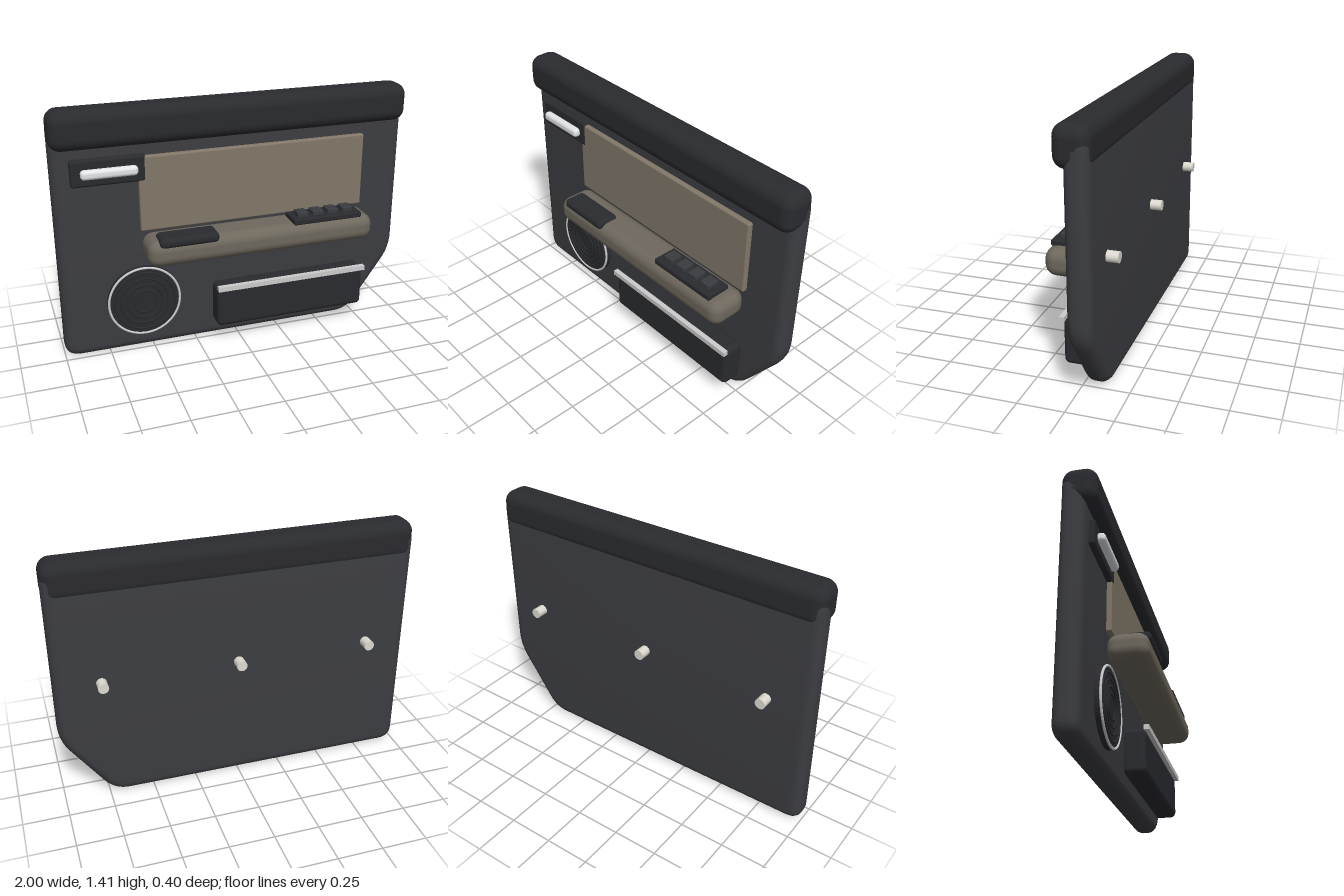
import * as THREE from 'three';
import { toCreasedNormals } from 'three/addons/utils/BufferGeometryUtils.js';
import { RoundedBoxGeometry } from 'three/addons/geometries/RoundedBoxGeometry.js';

const mat = (color) => new THREE.MeshStandardMaterial({ color });

// Closed outline with a rounded corner at each [x, y, radius]
function roundedShape(points) {
  const shape = new THREE.Shape();
  const n = points.length;
  points.forEach(([x, y, r], i) => {
    const corner = new THREE.Vector2(x, y);
    const toward = (p) => new THREE.Vector2(p[0], p[1]).sub(corner).setLength(r).add(corner);
    const a = toward(points[(i + n - 1) % n]);
    const b = toward(points[(i + 1) % n]);
    if (i === 0) shape.moveTo(a.x, a.y);
    else shape.lineTo(a.x, a.y);
    shape.quadraticCurveTo(x, y, b.x, b.y);
  });
  shape.closePath();
  return shape;
}

export function createModel() {
  const model = new THREE.Group();
  model.name = 'doorPanel';
  const panelMat = mat(0x3c3d41);
  const dark = mat(0x2a2b2f);
  const buttonMat = mat(0x393b40);
  const beige = mat(0x827869);
  const armMat = mat(0x6e685d);
  const silver = mat(0xcccccc);
  const white = mat(0xe2e4e8);
  const clipMat = mat(0xdcdad0);

  const add = (name, geometry, material, x = 0, y = 0, z = 0, parent = model) => {
    const mesh = new THREE.Mesh(geometry, material);
    mesh.name = name;
    mesh.position.set(x, y, z);
    parent.add(mesh);
    return mesh;
  };

  // Rounded box given by its extents on each axis
  const block = (name, [x0, x1], [y0, y1], [z0, z1], radius, material, parent = model) => {
    const w = x1 - x0, h = y1 - y0, d = z1 - z0;
    const geometry = radius ? new RoundedBoxGeometry(w, h, d, 4, radius) : new THREE.BoxGeometry(w, h, d);
    return add(name, geometry, material, (x0 + x1) / 2, (y0 + y1) / 2, (z0 + z1) / 2, parent);
  };

  // Main panel with a cut lower corner and soft edges
  const outline = roundedShape([
    [-1, 0, 0.085], [0.727, 0, 0.09], [1, 0.386, 0.09], [1, 1.38, 0.085], [-1, 1.38, 0.085],
  ]);
  const panel = new THREE.ExtrudeGeometry(outline, {
    depth: 0.025, bevelEnabled: true, bevelThickness: 0.05, bevelSize: 0.05,
    bevelOffset: -0.05, bevelSegments: 5, curveSegments: 8,
  });
  add('panel', toCreasedNormals(panel, 0.6), panelMat, 0, 0, -0.087);

  // Padded rail along the top
  block('topRail', [-1, 1], [1.2, 1.412], [-0.142, 0.044], 0.065, dark);

  // Trim insert and armrest
  block('trimInsert', [-0.55, 0.75], [0.72, 1.14], [-0.03, 0.015], 0.01, beige);
  block('armrest', [-0.55, 0.75], [0.568, 0.716], [-0.02, 0.2], 0.06, armMat);

  // Door handle on its plate
  block('handlePlate', [-0.905, -0.51], [1.005, 1.152], [-0.025, 0.018], 0.015, dark);
  block('handle', [-0.855, -0.555], [1.052, 1.104], [0.008, 0.056], 0.02, white);

  // Grip and switch pad on the armrest
  block('gripCup', [-0.49, -0.165], [0.68, 0.737], [0.07, 0.203], 0.025, dark);
  block('switchPad', [0.27, 0.675], [0.708, 0.741], [0.04, 0.182], 0.008, dark);
  for (let i = 0; i < 4; i++) {
    const x = 0.335 + i * 0.09;
    block('switch', [x - 0.031, x + 0.031], [0.735, 0.765], [0.074, 0.146], 0.006, buttonMat);
  }

  // Speaker: disc, bright rim and concentric grille ribs
  const speaker = new THREE.Group();
  speaker.name = 'speaker';
  speaker.position.set(-0.55, 0.305, 0);
  model.add(speaker);
  const disc = new THREE.CylinderGeometry(0.205, 0.205, 0.04, 48).rotateX(Math.PI / 2);
  add('speakerDisc', disc, dark, 0, 0, 0, speaker);
  add('speakerRim', new THREE.TorusGeometry(0.2, 0.007, 8, 64), silver, 0, 0, 0.019, speaker);
  for (const r of [0.065, 0.1, 0.135, 0.17]) {
    add('grilleRib', new THREE.TorusGeometry(r, 0.006, 8, 48), dark, 0, 0, 0.02, speaker);
  }

  // Map pocket and its bright strip
  block('pocket', [-0.15, 0.75], [0.104, 0.352], [-0.025, 0.101], 0.03, dark);
  block('pocketStrip', [-0.15, 0.75], [0.338, 0.366], [0.093, 0.121], 0, silver);

  // Mounting clips on the back
  for (const x of [-0.75, 0, 0.75]) {
    const clip = new THREE.CylinderGeometry(0.029, 0.029, 0.08, 16).rotateX(Math.PI / 2);
    add('mountingClip', clip, clipMat, x, 0.728, -0.16);
  }
  return model;
}
